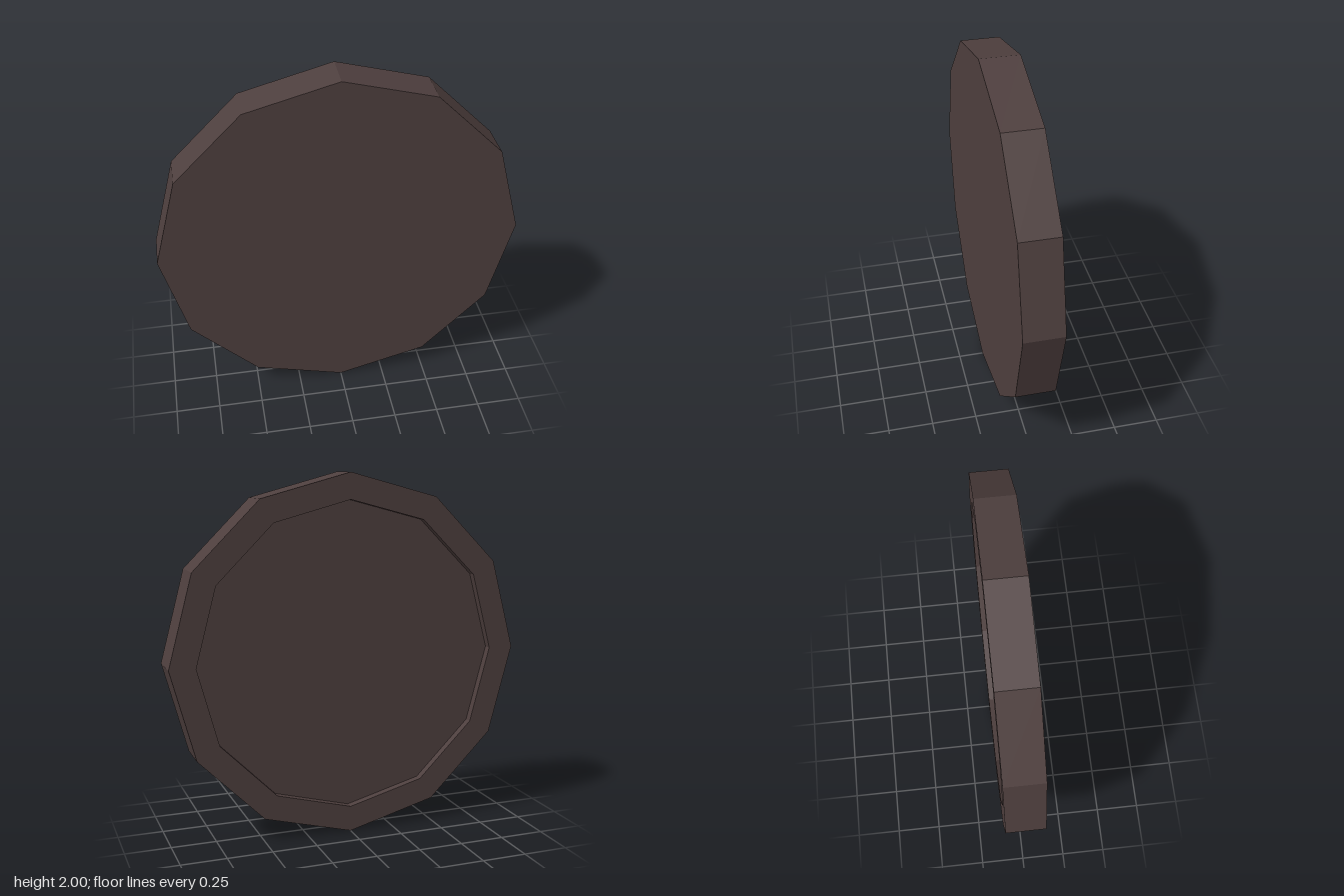
import * as THREE from 'three';

const SIDES = 12;
const HALF = 0.108;   // half thickness
const INNER = 0.856;  // radius of the rear recess
const DEPTH = 0.045;  // depth of the rear recess

export function createModel() {
  const darkBrown = new THREE.MeshStandardMaterial({ color: 0x4e3f3e, flatShading: true });
  darkBrown.name = 'darkBrown';

  const group = new THREE.Group();
  group.name = 'disc';

  // Turns a profile of [radius, z] points into a twelve-sided part facing +z
  const addPart = (name, profile) => {
    const points = profile.map(([r, z]) => new THREE.Vector2(r, z));
    const geometry = new THREE.LatheGeometry(points, SIDES);
    geometry.rotateX(Math.PI / 2);
    geometry.translate(0, 1, 0);
    const mesh = new THREE.Mesh(geometry, darkBrown);
    mesh.name = name;
    group.add(mesh);
  };

  const floor = -HALF + DEPTH;
  addPart('recessFloor', [[0, floor], [INNER, floor]]);
  addPart('rim', [[INNER, floor], [INNER, -HALF], [1, -HALF], [1, HALF]]);
  addPart('frontFace', [[1, HALF], [0, HALF]]);

  return group;
}
